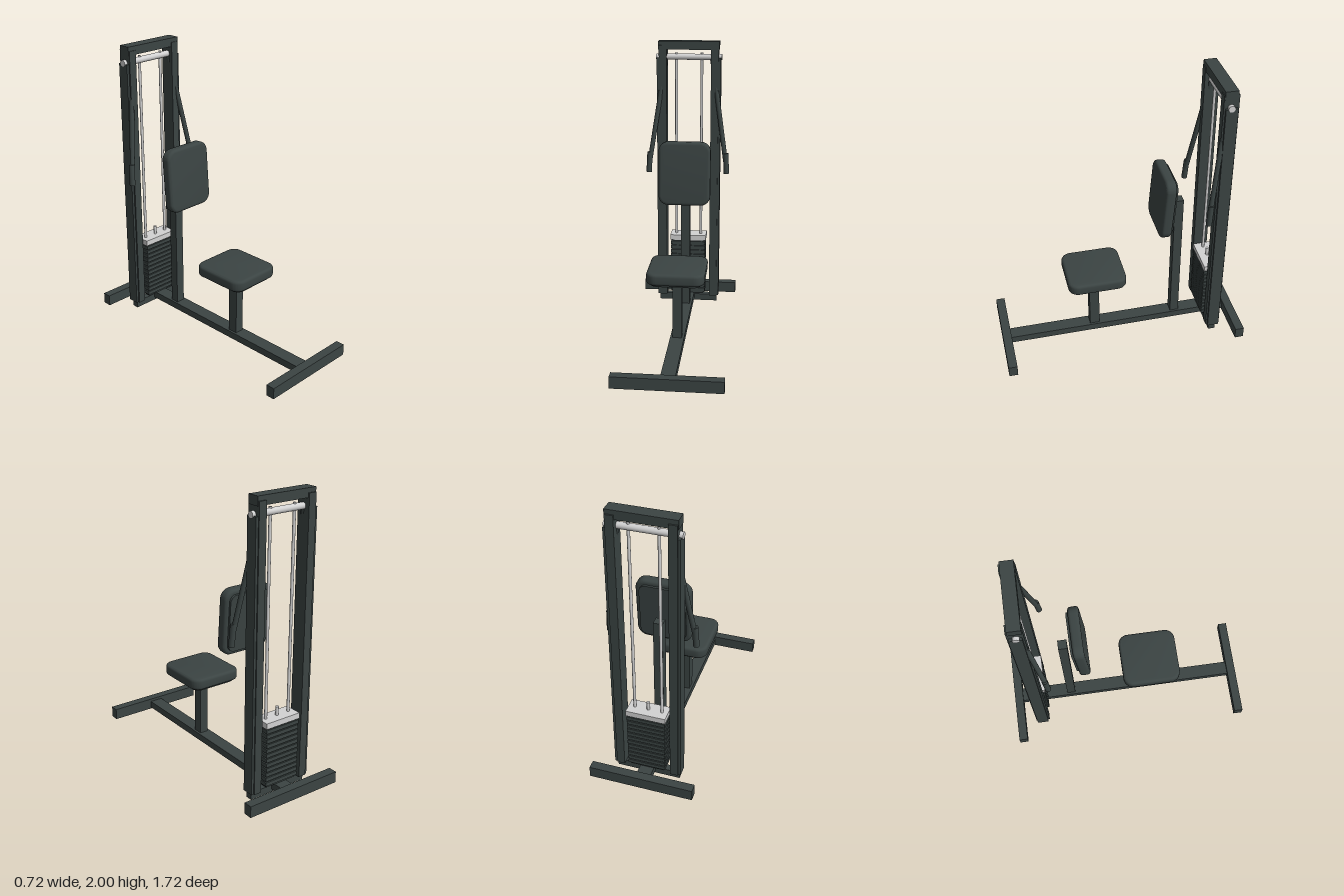
import * as THREE from 'three';
import { toCreasedNormals } from 'three/addons/utils/BufferGeometryUtils.js';

export function createModel() {
  const model = new THREE.Group();
  model.name = 'chestMachine';

  const dark = new THREE.MeshStandardMaterial({ color: 0x3b4443 });
  dark.name = 'charcoal';
  const steel = new THREE.MeshStandardMaterial({ color: 0xd2d2d2 });
  steel.name = 'brightSteel';

  const add = (name, geometry, material, parent = model) => {
    const mesh = new THREE.Mesh(geometry, material);
    mesh.name = name;
    parent.add(mesh);
    return mesh;
  };

  // Box given by its limits on each axis
  const box = (name, x0, x1, y0, y1, z0, z1, material = dark, parent = model) => {
    const mesh = add(name, new THREE.BoxGeometry(x1 - x0, y1 - y0, z1 - z0), material, parent);
    mesh.position.set((x0 + x1) / 2, (y0 + y1) / 2, (z0 + z1) / 2);
    return mesh;
  };

  // Round bar between two points
  const rod = (name, a, b, radius, material, sides = 20) => {
    const from = new THREE.Vector3(...a), to = new THREE.Vector3(...b);
    const dir = to.clone().sub(from);
    const mesh = add(name, new THREE.CylinderGeometry(radius, radius, dir.length(), sides), material);
    mesh.position.copy(from).add(to).multiplyScalar(0.5);
    mesh.quaternion.setFromUnitVectors(new THREE.Vector3(0, 1, 0), dir.normalize());
    return mesh;
  };

  // Rounded slab lying in the xy plane, centred, with softened rims
  const slab = (w, h, depth, radius, bevel) => {
    const x = w / 2 - bevel, y = h / 2 - bevel, r = radius - bevel;
    const s = new THREE.Shape();
    s.moveTo(-x + r, -y);
    s.lineTo(x - r, -y);
    s.absarc(x - r, -y + r, r, -Math.PI / 2, 0);
    s.absarc(x - r, y - r, r, 0, Math.PI / 2);
    s.absarc(-x + r, y - r, r, Math.PI / 2, Math.PI);
    s.absarc(-x + r, -y + r, r, Math.PI, Math.PI * 1.5);
    const g = new THREE.ExtrudeGeometry(s, {
      depth: depth - 2 * bevel, bevelEnabled: bevel > 0, bevelSize: bevel,
      bevelThickness: bevel, bevelSegments: 4, curveSegments: 8,
    });
    g.translate(0, 0, -(depth - 2 * bevel) / 2);
    return toCreasedNormals(g, 0.6);
  };

  // Floor frame
  box('frontFoot', -0.36, 0.36, 0.01, 0.09, 0.8, 0.862);
  box('rearFoot', -0.36, 0.36, 0.01, 0.09, -0.862, -0.8);
  box('floorBeam', -0.048, 0.048, 0.02, 0.07, -0.8, 0.8);
  box('towerCrossbar', -0.22, 0.22, 0, 0.05, -0.688, -0.64);

  // Seat
  box('seatPost', -0.032, 0.032, 0.07, 0.5, 0.145, 0.215);
  const seat = new THREE.Group();
  seat.name = 'seat';
  seat.position.set(0, 0.547, 0.176);
  seat.rotation.x = -Math.PI / 2;
  model.add(seat);
  add('seatPad', slab(0.39, 0.412, 0.08, 0.07, 0.02), dark, seat);
  add('seatPlate', slab(0.33, 0.36, 0.02, 0.05, 0), dark, seat).position.z = -0.043;

  // Backrest, leaning slightly back
  box('backPost', -0.032, 0.032, 0.07, 1.08, -0.457, -0.395);
  const backrest = new THREE.Group();
  backrest.name = 'backrest';
  backrest.position.set(0, 1.1, -0.311);
  backrest.rotation.x = -0.07;
  model.add(backrest);
  add('backPad', slab(0.37, 0.456, 0.074, 0.07, 0.02), dark, backrest);
  add('backPlate', slab(0.31, 0.395, 0.02, 0.05, 0), dark, backrest).position.z = -0.042;

  // Tower
  box('topBeam', -0.222, 0.222, 1.94, 2, -0.708, -0.622);
  rod('pivotBar', [-0.24, 1.885, -0.665], [0.24, 1.885, -0.665], 0.022, steel);
  for (const s of [-1, 1]) {
    const limits = (a, b) => [Math.min(s * a, s * b), Math.max(s * a, s * b)];
    box('upright', ...limits(0.162, 0.217), 0.05, 1.97, -0.718, -0.617);
    box('outerRail', ...limits(0.217, 0.234), 0.05, 1.88, -0.71, -0.628);
    rod('guideRod', [s * 0.093, 0.08, -0.665], [s * 0.093, 1.915, -0.665], 0.01, steel, 16);

    // Press arm and grip
    rod('pressArm', [s * 0.168, 1.88, -0.662], [s * 0.28, 1.13, -0.56], 0.017, dark);
    rod('handGrip', [s * 0.28, 1.195, -0.565], [s * 0.287, 1.045, -0.555], 0.02, dark);
  }

  // Weight stack
  const stack = new THREE.Group();
  stack.name = 'weightStack';
  model.add(stack);
  const count = 12, pitch = 0.0345;
  for (let i = 0; i < count; i++) {
    const y = 0.085 + i * pitch;
    box('weightPlate', -0.13, 0.13, y, y + 0.026, -0.728, -0.607, dark, stack);
  }
  box('stackCore', -0.118, 0.118, 0.07, 0.5, -0.718, -0.617, dark, stack);
  box('topWeight', -0.135, 0.135, 0.5, 0.54, -0.73, -0.605, steel, stack);
  rod('selectorRod', [0, 0.53, -0.665], [0, 0.6, -0.665], 0.011, steel, 16);

  return model;
}
